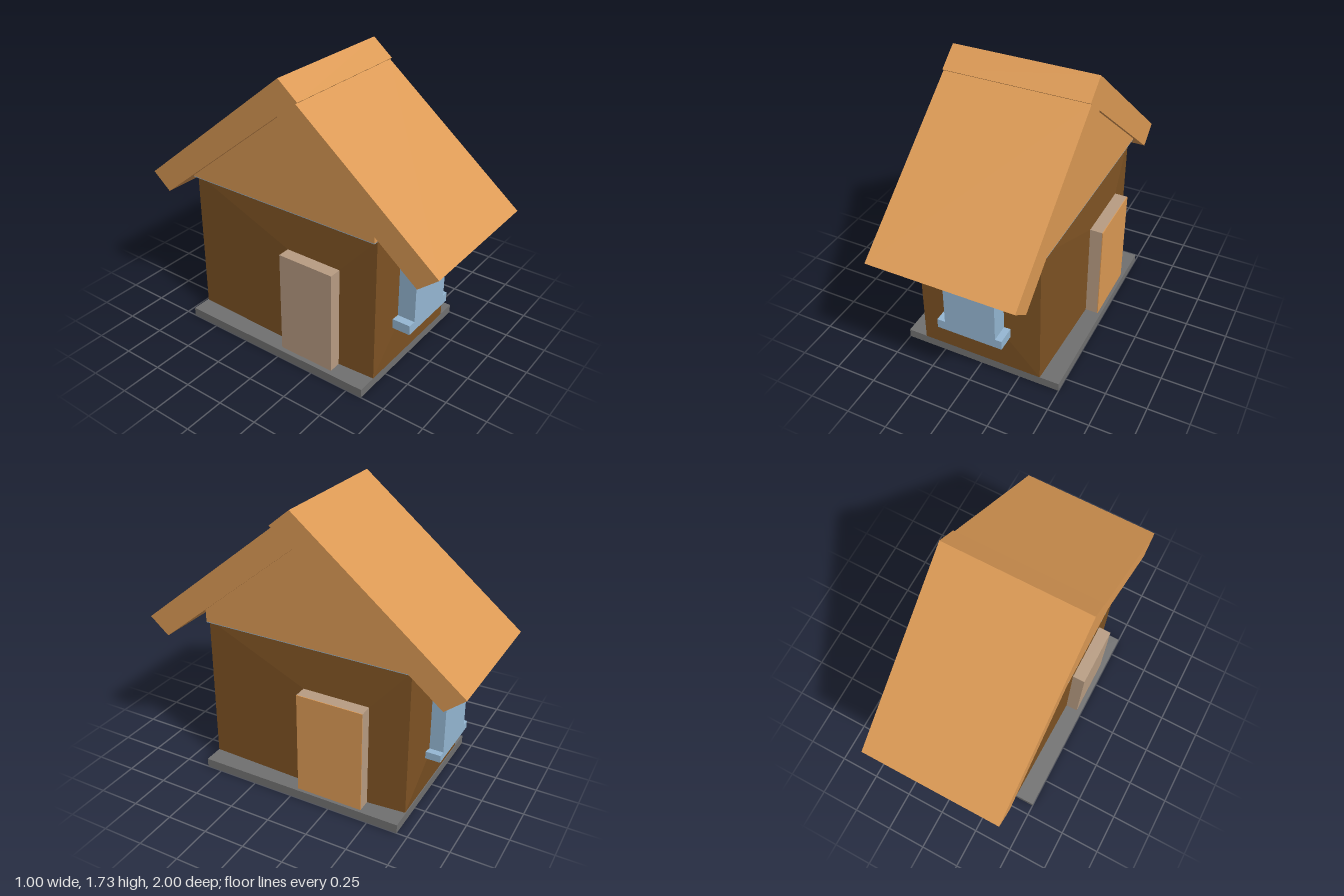
import * as THREE from 'three';

export function createModel() {
  const house = new THREE.Group();
  house.name = 'house';

  const mat = (name, color) => {
    const m = new THREE.MeshStandardMaterial({ color });
    m.name = name;
    return m;
  };
  const orange = mat('orange wood', 0xdb9954);
  const brown = mat('brown wall', 0x7d5223);
  const grey = mat('grey stone', 0x707070);
  const tan = mat('tan door', 0xb89c82);
  const blue = mat('blue window', 0x95b7d3);

  const add = (name, geometry, material, parent = house) => {
    const mesh = new THREE.Mesh(geometry, material);
    mesh.name = name;
    parent.add(mesh);
    return mesh;
  };

  // Box given by its limits on each axis
  const box = (name, material, [x0, x1], [y0, y1], [z0, z1], parent) => {
    const g = new THREE.BoxGeometry(x1 - x0, y1 - y0, z1 - z0);
    g.translate((x0 + x1) / 2, (y0 + y1) / 2, (z0 + z1) / 2);
    return add(name, g, material, parent);
  };

  // Side profile of [z, y] points, extruded across x
  const slab = (name, material, points, x0, x1) => {
    const shape = new THREE.Shape(points.map(([z, y]) => new THREE.Vector2(-z, y)));
    const g = new THREE.ExtrudeGeometry(shape, { depth: x1 - x0, bevelEnabled: false });
    g.rotateY(Math.PI / 2).translate(x0, 0, 0);
    return add(name, g, material);
  };

  // Wall face sloping outward from its edges to an opening; rects are [left, right, bottom, top]
  const bulge = (name, outer, inner, depth, bump, angle) => {
    const corners = ([l, r, b, t], n) => [[l, b, n], [r, b, n], [r, t, n], [l, t, n]];
    const o = corners(outer, depth);
    const i = corners(inner, depth + bump);
    const pos = [];
    for (let k = 0; k < 4; k++) {
      const j = (k + 1) % 4;
      pos.push(...o[k], ...o[j], ...i[j], ...o[k], ...i[j], ...i[k]);
    }
    pos.push(...i[0], ...i[1], ...i[2], ...i[0], ...i[2], ...i[3]);
    const g = new THREE.BufferGeometry();
    g.setAttribute('position', new THREE.Float32BufferAttribute(pos, 3));
    g.rotateY(angle);
    g.computeVertexNormals();
    return add(name, g, brown);
  };

  // Foundation
  box('foundation', grey, [-0.5, 0.5], [0, 0.055], [-0.685, 0.6]);

  // Walls, rising to the underside of the roof
  slab('walls', brown, [[0.6, 0.055], [0.6, 1.036], [0, 1.52], [-0.68, 0.971], [-0.68, 0.055]], -0.38, 0.38);
  const half = Math.PI / 2;
  bulge('frontWallFace', [-0.38, 0.38, 0.055, 1.036], [-0.16, 0.16, 0.31, 0.8], 0.6, 0.01, 0);
  bulge('backWallFace', [-0.38, 0.38, 0.055, 0.971], [-0.16, 0.16, 0.33, 0.79], 0.68, 0.036, Math.PI);
  bulge('leftWallFace', [-0.6, 0.68, 0.055, 0.96], [0.04, 0.45, 0.055, 0.69], 0.38, 0.02, half);
  bulge('rightWallFace', [-0.68, 0.6, 0.055, 0.96], [0.01, 0.37, 0.055, 0.7], 0.38, 0.014, -half);

  // Gables with a thin strip beneath
  const gable = [[0.6, 0.96], [0.6, 1.036], [0, 1.52], [-0.685, 0.967], [-0.685, 0.96]];
  for (const [side, x0, x1] of [['left', 0.378, 0.41], ['right', -0.41, -0.378]]) {
    slab(side + 'Gable', orange, gable, x0, x1);
    box(side + 'GableStrip', blue, [x0, x1], [0.956, 0.96], [-0.685, 0.6]);
  }

  // Roof: the back slope overlaps the front one at the ridge
  slab('backRoof', orange, [[0.01, 1.73], [-1, 0.91], [-0.88, 0.81], [0, 1.52], [0.135, 1.627]], -0.44, 0.43);
  slab('frontRoof', orange, [[1, 0.91], [0.12, 1.62], [0, 1.52], [0.88, 0.81]], -0.44, 0.43);

  // Doors
  box('leftDoor', tan, [0.37, 0.476], [0.055, 0.69], [-0.45, -0.04]);
  box('leftDoorFace', orange, [0.476, 0.481], [0.055, 0.69], [-0.45, -0.04]);
  box('rightDoor', tan, [-0.47, -0.37], [0.055, 0.7], [0.01, 0.37]);

  // Windows with sills
  const makeWindow = (name, z, sillBottom, top) => {
    const group = new THREE.Group();
    group.name = name;
    house.add(group);
    box('windowPane', blue, [-0.16, 0.16], [0.37, top], z, group);
    box('windowSill', blue, [-0.21, 0.2], [sillBottom, 0.37], z, group);
  };
  makeWindow('frontWindow', [0.59, 0.72], 0.31, 0.8);
  makeWindow('backWindow', [-0.8, -0.67], 0.325, 0.79);

  return house;
}
